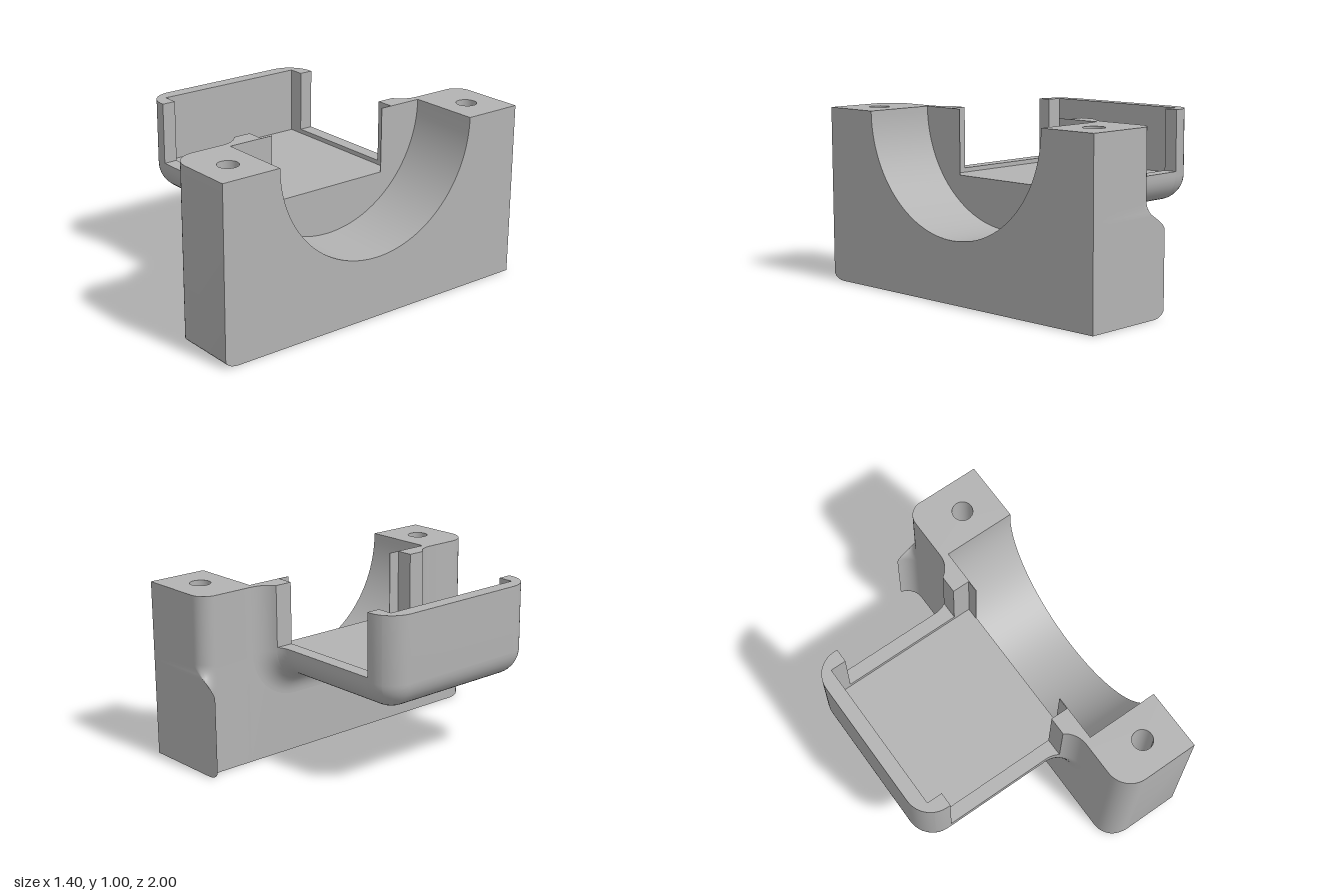
import * as THREE from 'three';
import { toCreasedNormals } from 'three/addons/utils/BufferGeometryUtils.js';

const grey = new THREE.MeshStandardMaterial({ color: 0xb3b3b3 });
grey.name = 'plain grey';

// Axis maps: a section point (u, v) placed at distance w along the axis
const alongX = (u, v, w) => [w, u, v]; // u = y, v = z
const alongY = (u, v, w) => [v, w, u]; // u = z, v = x

// Solid through matching closed sections, capped at both ends; hole pierces the end cap
function loft(sections, at, map, hole = null) {
  const rings = sections.map((s) => {
    const r = s.map(([u, v]) => new THREE.Vector2(u, v));
    return THREE.ShapeUtils.area(r) < 0 ? r.reverse() : r;
  });
  const pos = [];
  const put = (p, w) => pos.push(...map(p.x, p.y, w));
  for (let k = 0; k < rings.length - 1; k++) {
    const A = rings[k], B = rings[k + 1], n = A.length;
    for (let i = 0; i < n; i++) {
      const j = (i + 1) % n;
      put(A[i], at[k]); put(A[j], at[k]); put(B[j], at[k + 1]);
      put(A[i], at[k]); put(B[j], at[k + 1]); put(B[i], at[k + 1]);
    }
  }
  const cap = (ring, w, holes, up) => {
    const all = [...ring, ...holes.flat()];
    for (const f of THREE.ShapeUtils.triangulateShape(ring.slice(), holes)) {
      const t = f.map((i) => all[i]);
      if ((THREE.ShapeUtils.area(t) > 0) !== up) t.reverse();
      t.forEach((p) => put(p, w));
    }
  };
  cap(rings[0], at[0], [], false);
  cap(rings.at(-1), at.at(-1), hole ? [hole] : [], true);
  const g = new THREE.BufferGeometry();
  g.setAttribute('position', new THREE.Float32BufferAttribute(pos, 3));
  return toCreasedNormals(g, 0.45);
}

// n + 1 angles across a quarter turn
const quarter = (n) => Array.from({ length: n + 1 }, (_, i) => (i / n) * Math.PI / 2);

// ---- Tray ----
const R = 0.15, F = 0.14, LEFT = -0.70, FILLET = 0.10, FLOOR = 0.625, IN = 0.45;

// Outward offset of the tray skin: rounded at the far end, flared into the block
function skinOffset(x) {
  if (x < LEFT + R) return Math.sqrt(Math.max(0, R * R - (LEFT + R - x) ** 2)) - R;
  if (x > FILLET) return F - Math.sqrt(Math.max(0, F * F - (x - FILLET) ** 2));
  return 0;
}

function traySection(x, top, hollow) {
  const r = Math.max(0.002, R + skinOffset(x)), c = 0.38;
  const q = quarter(10);
  const s = [[top, -c - r]];
  q.forEach((a) => s.push([FLOOR - r * Math.sin(a), -c - r * Math.cos(a)]));
  q.forEach((a) => s.push([FLOOR - r * Math.cos(a), c + r * Math.sin(a)]));
  s.push([top, c + r]);
  if (hollow) s.push([top, IN], [FLOOR, IN], [FLOOR, -IN], [top, -IN]);
  return s;
}

const trayStations = [
  ...quarter(10).map((a) => LEFT + R * (1 - Math.cos(a))),
  ...quarter(12).map((a) => FILLET + F * Math.sin(a)),
];

function trayPart(x0, x1, top, hollow) {
  const xs = [x0, ...trayStations.filter((x) => x > x0 + 1e-3 && x < x1 - 1e-3), x1];
  return loft(xs.map((x) => traySection(x, top, hollow)), xs, alongX);
}

// ---- Block ----
// Slab of the block between x0 and x1; notch is a path cut from the top edge
function slab(x0, x1, notch) {
  const s = [[1, -0.7], [0, -0.7], [0, 0.7], [1, 0.7], ...notch];
  return loft([s, s], [x0, x1], alongX);
}
const squareNotch = (w) => [[1, w], [FLOOR, w], [FLOOR, -w], [1, -w]];
const roundNotch = Array.from({ length: 65 }, (_, i) => {
  const a = (i / 64) * Math.PI;
  return [1 - 0.65 * Math.sin(a), 0.65 * Math.cos(a)];
});

// Softened lower edge
const bottomInset = (y) => (y >= 0.045 ? 0 : 0.08 * (1 - Math.sqrt(1 - (1 - y / 0.045) ** 2)));
const bottomLevels = quarter(6).map((a) => 0.045 * (1 - Math.cos(a)));

function frontLugSection(y) {
  const edge = 1 - bottomInset(y);
  const s = [[0.7, 0.7], [0.7, 0.24]];
  quarter(10).forEach((a) => s.push([
    Math.min(edge, 0.86 + 0.14 * Math.sin(a)), 0.38 - 0.14 * Math.cos(a)]));
  s.push([edge, 0.7]);
  return s;
}

// Rounded corner above that turns into an outward flare below
function backLugSection(y) {
  const bend = 2 * THREE.MathUtils.smoothstep(y, 0.46, 0.62) - 1;
  const s = [[-0.7, 0.7], [-0.7, 0.24]];
  quarter(10).forEach((a) => s.push([
    -0.91 - 0.09 * Math.sin(a),
    Math.max(0.15 + bottomInset(y), 0.24 + bend * 0.09 * (1 - Math.cos(a)))]));
  s.push([-1, 0.7]);
  return s;
}

const HOLE = { x: 0.495, z: 0.82, r: 0.058 };
function holeRing(side) {
  return Array.from({ length: 32 }, (_, i) => {
    const a = (i / 32) * Math.PI * 2;
    return new THREE.Vector2(side * HOLE.z + HOLE.r * Math.cos(a), HOLE.x + HOLE.r * Math.sin(a));
  });
}

export function createModel() {
  const model = new THREE.Group();
  model.name = 'bracket';
  const add = (parent, name, geometry) => {
    const m = new THREE.Mesh(geometry, grey);
    m.name = name;
    parent.add(m);
    return m;
  };

  // Tray with low side rims and taller corner posts
  const tray = new THREE.Group();
  tray.name = 'tray';
  add(tray, 'endWall', trayPart(LEFT, -0.62, 1, false));
  add(tray, 'endPosts', trayPart(-0.62, -0.53, 1, true));
  add(tray, 'floorAndRims', trayPart(-0.53, 0.175, 0.65, true));
  add(tray, 'blockPosts', trayPart(0.175, 0.24, 1, true));

  // Block with the round channel, and the opening from channel to tray
  const block = new THREE.Group();
  block.name = 'block';
  add(block, 'trayWall', slab(0.24, 0.276, squareNotch(IN)));
  add(block, 'openingPlate', slab(0.276, 0.28, squareNotch(0.382)));
  add(block, 'channelSaddle', slab(0.28, 0.7, roundNotch));

  // Block ends with blind screw holes
  const bendLevels = Array.from({ length: 13 }, (_, i) => 0.46 + (i / 12) * 0.16);
  const frontY = [...bottomLevels, 1], backY = [...bottomLevels, ...bendLevels, 1];
  add(block, 'frontLug', loft(frontY.map(frontLugSection), frontY, alongY, holeRing(1)));
  add(block, 'backLug', loft(backY.map(backLugSection), backY, alongY, holeRing(-1)));
  for (const side of [1, -1]) {
    const bore = new THREE.LatheGeometry([
      new THREE.Vector2(HOLE.r, 1), new THREE.Vector2(HOLE.r, 0.5), new THREE.Vector2(0, 0.5)], 32);
    add(block, side > 0 ? 'frontHole' : 'backHole', toCreasedNormals(bore, 0.5))
      .position.set(HOLE.x, 0, side * HOLE.z);
  }

  model.add(tray, block);
  return model;
}
